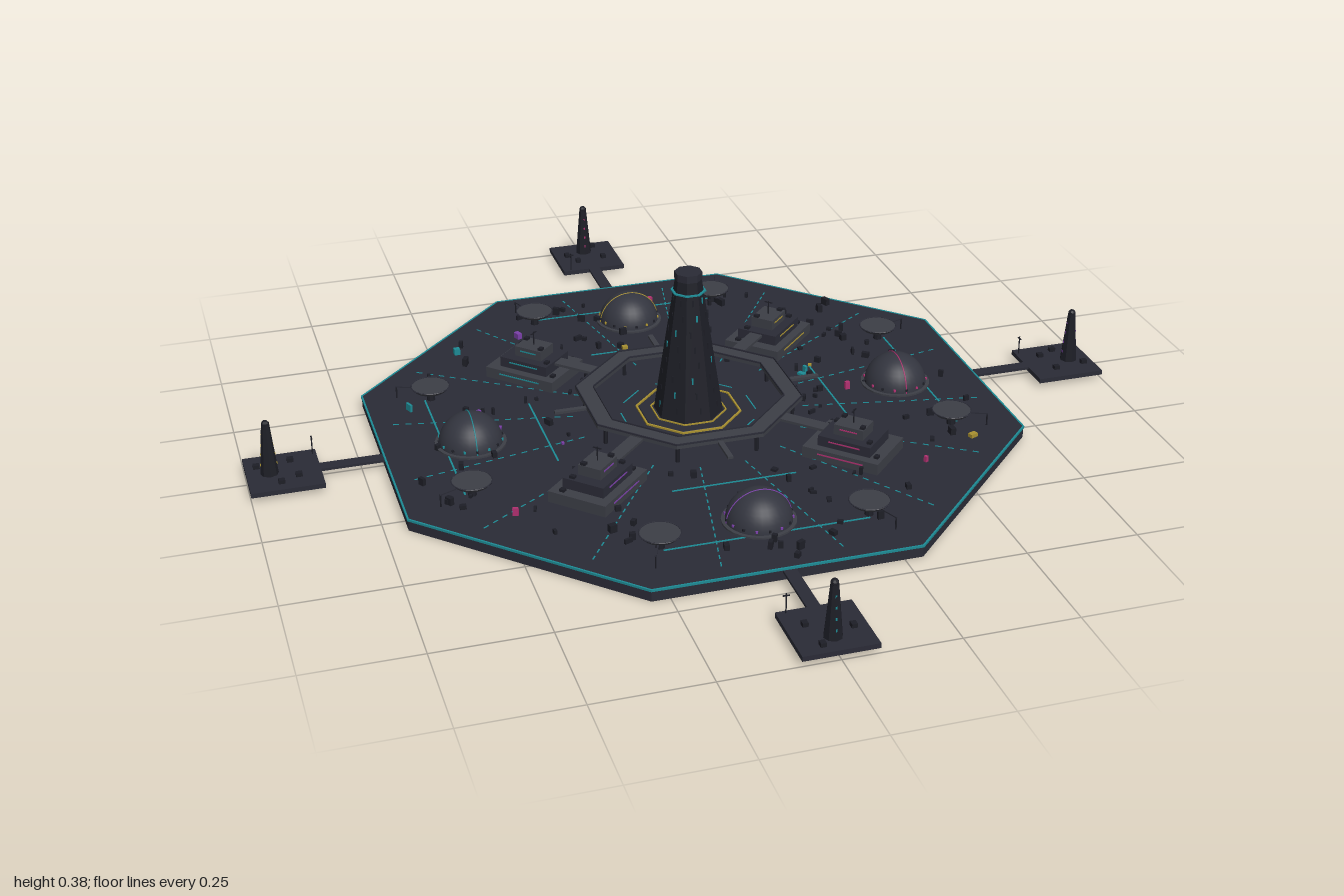
import * as THREE from 'three';

const DECK = 0.027;
const mat = (color, extra = {}) => new THREE.MeshStandardMaterial({ color, ...extra });
const hull = mat(0x2a2b36, { flatShading: true });
const dark = mat(0x1d1e26, { flatShading: true });
const grey = mat(0x3c3e46, { flatShading: true });
const glass = mat(0x33353f);
const cyan = mat(0x1d8a94), magenta = mat(0xb03070), yellow = mat(0xa89030), purple = mat(0x7a3fa8);
const neon = [magenta, purple, cyan, yellow];

function add(parent, name, geometry, material, x = 0, y = 0, z = 0) {
  const m = new THREE.Mesh(geometry, material);
  m.name = name;
  m.position.set(x, y, z);
  parent.add(m);
  return m;
}
const box = (parent, name, material, w, h, d, x, y, z) =>
  add(parent, name, new THREE.BoxGeometry(w, h, d), material, x, y, z);
const rod = (parent, name, material, r0, r1, h, n, x, y, z) =>
  add(parent, name, new THREE.CylinderGeometry(r1, r0, h, n), material, x, y + h / 2, z);

// Group whose local +x points outward at the given angle (towards +z)
function spoke(parent, name, angle) {
  const g = new THREE.Group();
  g.name = name;
  g.rotation.y = -angle;
  parent.add(g);
  return g;
}

// Eight-sided prism with flats on the axes, sized by apothem
function octagon(parent, name, material, bottom, top, y0, y1) {
  const k = 1 / Math.cos(Math.PI / 8);
  const geo = new THREE.CylinderGeometry(top * k, bottom * k, y1 - y0, 8).rotateY(Math.PI / 8);
  return add(parent, name, geo, material, 0, (y0 + y1) / 2, 0);
}

// Flat octagonal ring with a hole
function octRing(parent, name, material, inner, outer, y, h) {
  const pts = r => Array.from({ length: 8 }, (_, i) => {
    const a = (i + 0.5) * Math.PI / 4, k = r / Math.cos(Math.PI / 8);
    return new THREE.Vector2(Math.cos(a) * k, Math.sin(a) * k);
  });
  const shape = new THREE.Shape(pts(outer));
  shape.holes.push(new THREE.Path(pts(inner)));
  const geo = new THREE.ExtrudeGeometry(shape, { depth: h, bevelEnabled: false }).rotateX(-Math.PI / 2);
  return add(parent, name, geo, material, 0, y, 0);
}

function centralTower(root) {
  const g = new THREE.Group();
  g.name = 'centralTower';
  root.add(g);
  octagon(g, 'towerPlinth', hull, 0.11, 0.105, DECK, DECK + 0.008);
  octagon(g, 'towerShaft', dark, 0.074, 0.027, DECK, 0.365);
  octagon(g, 'towerCap', hull, 0.029, 0.029, 0.36, 0.377);
  octRing(g, 'plinthTrim', yellow, 0.108, 0.112, DECK + 0.005, 0.004);
  octRing(g, 'towerBaseTrim', yellow, 0.078, 0.081, DECK + 0.008, 0.003);
  octRing(g, 'towerTopRing', cyan, 0.031, 0.037, 0.33, 0.003);
  // Window strips lie just proud of each sloping facet
  for (let i = 0; i < 8; i++) {
    const s = spoke(g, 'towerFacet', i * Math.PI / 4);
    for (let j = 0; j < 8; j++) {
      const y = 0.06 + j * 0.036, r = 0.074 - 0.047 * (y - DECK) / 0.338;
      box(s, 'towerWindow', (i + j) % 4 ? dark : cyan, 0.002, 0.016, 0.004, r, y, ((j % 3) - 1) * 0.008);
    }
    box(s, 'plazaStrip', cyan, 0.003, 0.002, 0.07, 0.15, DECK, 0);
  }
}

function walkway(root) {
  const g = new THREE.Group();
  g.name = 'ringWalkway';
  root.add(g);
  octRing(g, 'walkwayDeck', grey, 0.2, 0.24, 0.07, 0.008);
  for (const r of [0.2, 0.238]) octRing(g, 'walkwayKerb', hull, r, r + 0.002, 0.078, 0.004);
  for (let i = 0; i < 8; i++) {
    const post = spoke(g, 'walkwayPost', (i + 0.5) * Math.PI / 4);
    rod(post, 'post', dark, 0.005, 0.005, 0.07 - DECK, 6, 0.237, DECK, 0);
    const bridge = spoke(g, 'walkwayBridge', i * Math.PI / 4);
    const w = i % 2 ? 0.032 : 0.012;
    box(bridge, 'bridge', grey, i % 2 ? 0.11 : 0.075, 0.006, w, i % 2 ? 0.29 : 0.275, 0.072, 0);
  }
}

function steppedBuilding(root, angle, i) {
  const g = spoke(root, 'steppedBuilding', angle);
  const tiers = [[0.18, 0.14, 0.026], [0.125, 0.1, 0.024], [0.07, 0.055, 0.024]];
  let y = DECK;
  tiers.forEach(([w, d, h], k) => {
    box(g, 'tier', k % 2 ? hull : grey, w, h, d, 0.41, y + h / 2, 0);
    for (const s of [-1, 1]) {
      box(g, 'tierLight', neon[i], w * 0.6, 0.003, 0.002, 0.41, y + h * 0.6, s * d / 2);
      box(g, 'tierVent', dark, 0.01, 0.006, 0.012, 0.41 + s * w * 0.42, y + h + 0.003, s * d * 0.3);
    }
    y += h;
  });
  rod(g, 'mast', dark, 0.0015, 0.0015, 0.033, 5, 0.41, y, 0);
  box(g, 'mastBar', dark, 0.003, 0.002, 0.02, 0.41, y + 0.03, 0);
}

function dome(root, angle, i) {
  const g = spoke(root, 'domeHabitat', angle);
  rod(g, 'domeBase', grey, 0.08, 0.08, 0.006, 24, 0.505, DECK - 0.002, 0);
  const shell = new THREE.SphereGeometry(0.072, 28, 10, 0, Math.PI * 2, 0, Math.PI / 2);
  add(g, 'domeShell', shell, glass, 0.505, DECK, 0);
  add(g, 'domeRib', new THREE.TorusGeometry(0.0722, 0.0015, 5, 24, Math.PI).rotateY(Math.PI / 2),
    neon[i], 0.505, DECK, 0);
  for (let k = 0; k < 16; k++) {
    const a = k * Math.PI / 8;
    box(g, 'domeLight', k % 2 ? neon[i] : dark, 0.005, 0.005, 0.005,
      0.505 + 0.071 * Math.cos(a), DECK + 0.012, 0.071 * Math.sin(a));
  }
}

// Raised round pad on a stem with a short outward gangway
function landingPad(root, x, z) {
  const g = new THREE.Group();
  g.name = 'landingPad';
  g.position.set(x, 0, z);
  g.rotation.y = -Math.atan2(z, x);
  root.add(g);
  rod(g, 'padStem', dark, 0.01, 0.008, 0.03, 8, 0, DECK, 0);
  rod(g, 'padDisc', grey, 0.038, 0.045, 0.008, 20, 0, 0.054, 0);
  add(g, 'padRim', new THREE.TorusGeometry(0.044, 0.0015, 5, 20).rotateX(Math.PI / 2), hull, 0, 0.062, 0);
  box(g, 'padGangway', hull, 0.04, 0.003, 0.004, 0.062, 0.056, 0);
  rod(g, 'padLamp', dark, 0.002, 0.002, 0.03, 5, 0.08, DECK, 0);
}

function outpost(root, angle, i) {
  const g = spoke(root, 'outpost', angle);
  box(g, 'outpostArm', hull, 0.17, 0.006, 0.028, 0.77, 0.019, 0);
  box(g, 'outpostPlatform', hull, 0.16, 0.011, 0.16, 0.92, 0.0165, 0);
  rod(g, 'outpostTower', dark, 0.02, 0.009, 0.118, 8, 0.95, 0.022, 0);
  add(g, 'outpostTip', new THREE.SphereGeometry(0.009, 8, 5), dark, 0.95, 0.143, 0);
  for (let k = 0; k < 4; k++) {
    const r = 0.0185 - k * 0.0025;
    box(g, 'outpostWindow', neon[(i + 1) % 4], r * 2, 0.006, 0.003, 0.95, 0.045 + k * 0.024, 0);
  }
  const side = i < 2 ? -1 : 1;
  const z = (i % 2 ? -side : side) * 0.06;
  rod(g, 'outpostAntenna', dark, 0.0015, 0.0015, 0.045, 5, 0.848, 0.022, z);
  box(g, 'antennaBar', dark, 0.003, 0.002, 0.014, 0.848, 0.062, z);
  for (const [x, s] of [[0.9, 0.04], [0.89, -0.03], [0.975, 0.03], [0.93, -0.05]])
    box(g, 'outpostCrate', dark, 0.014, 0.01, 0.012, x, 0.026, s);
}

// Light strips set into the deck
function deckLights(root) {
  const g = new THREE.Group();
  g.name = 'deckLights';
  root.add(g);
  for (let i = 0; i < 4; i++) {
    const s = spoke(g, 'crossStrips', i * Math.PI / 2);
    box(s, 'innerStrip', cyan, 0.004, 0.003, 0.28, 0.34, DECK, 0);
    box(s, 'outerStrip', cyan, 0.004, 0.003, 0.45, 0.565, DECK, 0);
  }
  for (let i = 0; i < 16; i++) {
    const s = spoke(g, 'radialDashes', (i + 0.5) * Math.PI / 8);
    for (let r = 0.27; r < 0.68; r += 0.028) box(s, 'dash', cyan, 0.014, 0.002, 0.003, r, DECK, 0);
  }
}

// Small scattered crates, vents and posts on the open deck
function clutter(root) {
  let seed = 7;
  const rnd = () => (seed = (seed * 16807) % 2147483647) / 2147483647;
  const g = new THREE.Group();
  g.name = 'deckClutter';
  root.add(g);
  for (let i = 0; i < 170; i++) {
    const s = spoke(g, 'clutterItem', rnd() * Math.PI * 2);
    const h = 0.005 + rnd() * 0.014, r = 0.27 + rnd() * 0.4;
    const m = box(s, 'crate', i % 9 ? dark : neon[i % 4], 0.006 + rnd() * 0.014, h, 0.005 + rnd() * 0.008,
      r, DECK + h / 2, 0);
    m.rotation.y = rnd() * 3;
  }
}

export function createModel() {
  const root = new THREE.Group();
  root.name = 'platformCity';
  octagon(root, 'mainDeck', hull, 0.7, 0.7, 0, DECK);
  octRing(root, 'deckEdgeTrim', cyan, 0.698, 0.702, DECK - 0.004, 0.005);
  centralTower(root);
  walkway(root);
  for (let i = 0; i < 4; i++) {
    const a = i * Math.PI / 2;
    dome(root, a, i);
    outpost(root, a, i);
    steppedBuilding(root, a + Math.PI / 4, i);
  }
  for (const sx of [-1, 1]) for (const sz of [-1, 1]) {
    landingPad(root, sx * 0.228, sz * 0.55);
    landingPad(root, sx * 0.55, sz * 0.228);
  }
  deckLights(root);
  clutter(root);
  return root;
}
